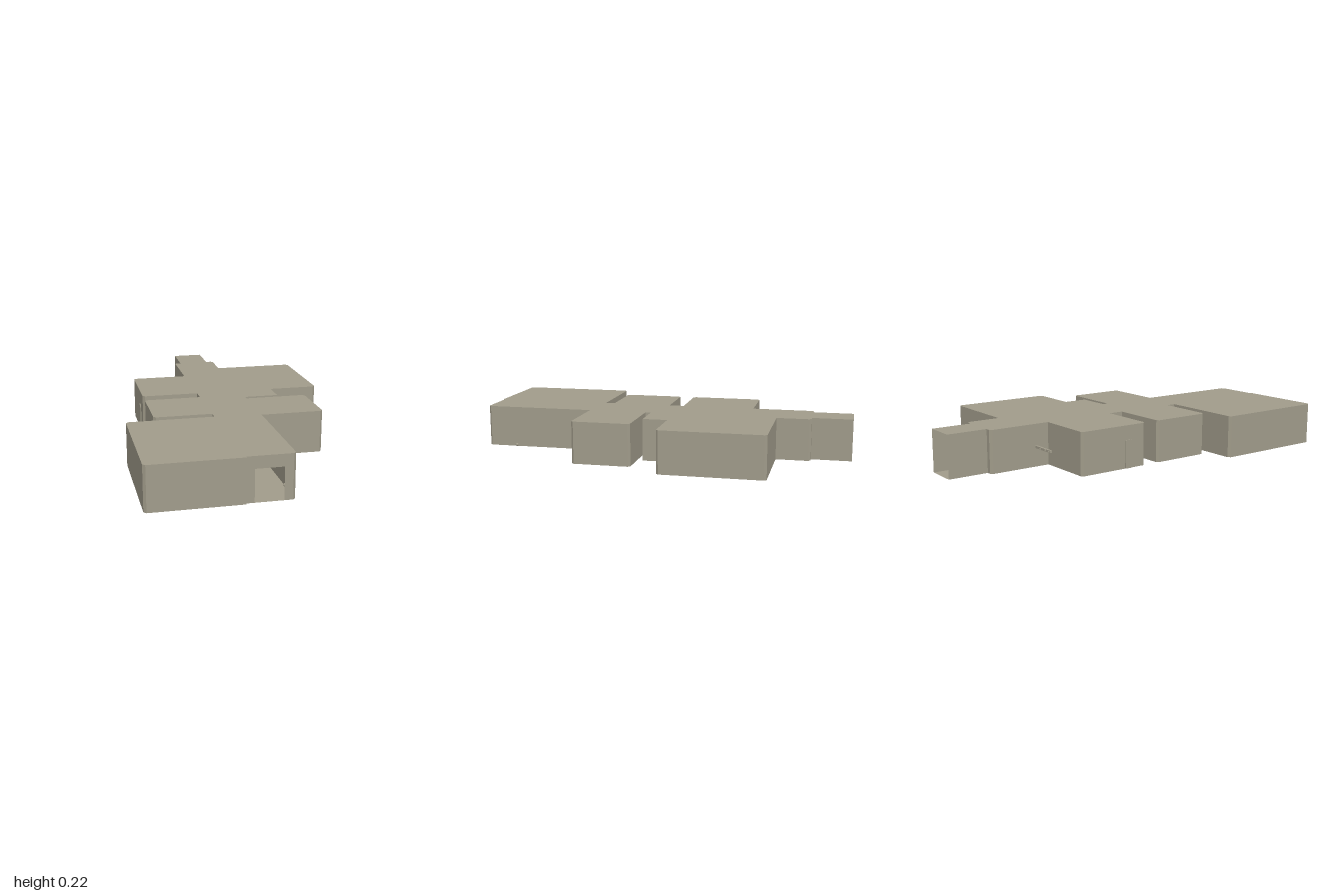
import * as THREE from 'three';

const FLOOR = 0.005, TOP = 0.225;

export function createModel() {
  const group = new THREE.Group();
  const plaster = new THREE.MeshStandardMaterial({ color: 0xa19c8b, side: THREE.DoubleSide });
  plaster.name = 'warm grey plaster';

  const add = (name, geometry) => {
    const mesh = new THREE.Mesh(geometry, plaster);
    mesh.name = name;
    group.add(mesh);
    return mesh;
  };
  const box = (name, w, h, d, x, y, z) =>
    add(name, new THREE.BoxGeometry(w, h, d)).position.set(x, y, z);

  // Floor plan corners as [x, z, bevelled], running from the open back passage and around
  const corners = [
    [0.08, -1], [0.08, -0.79], [0.12, -0.79, 1], [0.12, -0.61], [0.56, -0.61, 1], [0.56, -0.07, 1],
    [0.3, -0.07], [0.3, 0.06], [0.12, 0.06], [0.12, 0.09], [0.445, 0.09, 1], [0.445, 0.4, 1],
    [0.12, 0.4], [0.12, 0.99, 1], [-0.11, 0.99], [-0.11, 1], [-0.565, 1, 1], [-0.565, 0.38, 1],
    [-0.12, 0.38], [-0.12, 0.33], [-0.42, 0.33, 1], [-0.42, 0.01, 1], [-0.12, 0.01], [-0.12, -0.07],
    [-0.42, -0.07, 1], [-0.42, -0.46, 1], [-0.12, -0.46], [-0.12, -0.79, 1], [-0.085, -0.79], [-0.085, -1],
  ];

  // Cut the bevelled corners
  const plan = [];
  corners.forEach(([x, z, bevel], i) => {
    const p = new THREE.Vector2(x, z);
    if (!bevel) return plan.push(p);
    for (const n of [corners[i - 1], corners[i + 1]]) {
      const step = new THREE.Vector2(n[0] - x, n[1] - z).setLength(0.012);
      plan.push(p.clone().add(step));
    }
  });

  // Floor and ceiling
  for (const [name, y] of [['floor', FLOOR], ['ceiling', TOP]]) {
    const slab = new THREE.ShapeGeometry(new THREE.Shape(plan));
    slab.rotateX(Math.PI / 2);
    // Flip the winding so that the slab normals point out of the building
    if (name === 'ceiling') {
      const index = slab.index.array;
      for (let i = 0; i < index.length; i += 3) [index[i], index[i + 1]] = [index[i + 1], index[i]];
      slab.computeVertexNormals();
    }
    add(name, slab).position.y = y;
  }

  // Flat wall from a to b, with an optional doorway [start, end, top] measured along it
  const wall = (name, a, b, door) => {
    const length = a.distanceTo(b);
    const s = new THREE.Shape();
    s.moveTo(0, FLOOR);
    if (door) {
      s.lineTo(door[0], FLOOR);
      s.lineTo(door[0], door[2]);
      s.lineTo(door[1], door[2]);
      s.lineTo(door[1], FLOOR);
    }
    s.lineTo(length, FLOOR);
    s.lineTo(length, TOP);
    s.lineTo(0, TOP);
    const mesh = add(name, new THREE.ShapeGeometry(s));
    mesh.position.set(a.x, 0, a.y);
    mesh.rotation.y = -Math.atan2(b.y - a.y, b.x - a.x);
  };

  // Outer walls, drawn so that they face outward; the back passage stays open
  for (let i = 0; i < plan.length - 1; i++) {
    const a = plan[i + 1], b = plan[i];
    const entrance = a.y === 0.99 && b.y === 0.99;
    wall(entrance ? 'entranceWall' : 'outerWall', a, b, entrance ? [-0.07 - a.x, 0.067 - a.x, 0.165] : null);
  }

  // Inner partitions with narrow doorways across the hall
  for (const [z, half] of [[0.39, 0.12], [-0.785, 0.11]]) {
    wall('partition', new THREE.Vector2(-half, z), new THREE.Vector2(half, z), [half - 0.03, half + 0.03, 0.14]);
  }

  // Side door and its raised leaf
  box('sideDoor', 0.008, 0.145, 0.04, -0.421, 0.078, -0.178);

  // Rail through the hall wall, with pegs and a small stand
  box('rail', 0.295, 0.012, 0.012, -0.107, 0.107, -0.53);
  for (const x of [-0.25, -0.215, -0.17]) box('railPeg', 0.004, 0.006, 0.018, x, 0.108, -0.535);
  box('railPost', 0.006, 0.08, 0.006, -0.002, 0.1, -0.53);
  box('lowerRail', 0.03, 0.008, 0.006, 0.015, 0.066, -0.53);
  box('hallPanel', 0.01, 0.075, 0.06, 0.062, 0.102, 0.5);

  // Small knob at the foot of the front room wall and a pad under the floor
  add('knob', new THREE.SphereGeometry(0.009, 10, 8)).position.set(0.119, 0.012, 0.83);
  box('floorPad', 0.015, 0.006, 0.015, -0.232, 0.003, 0.8);

  return group;
}
